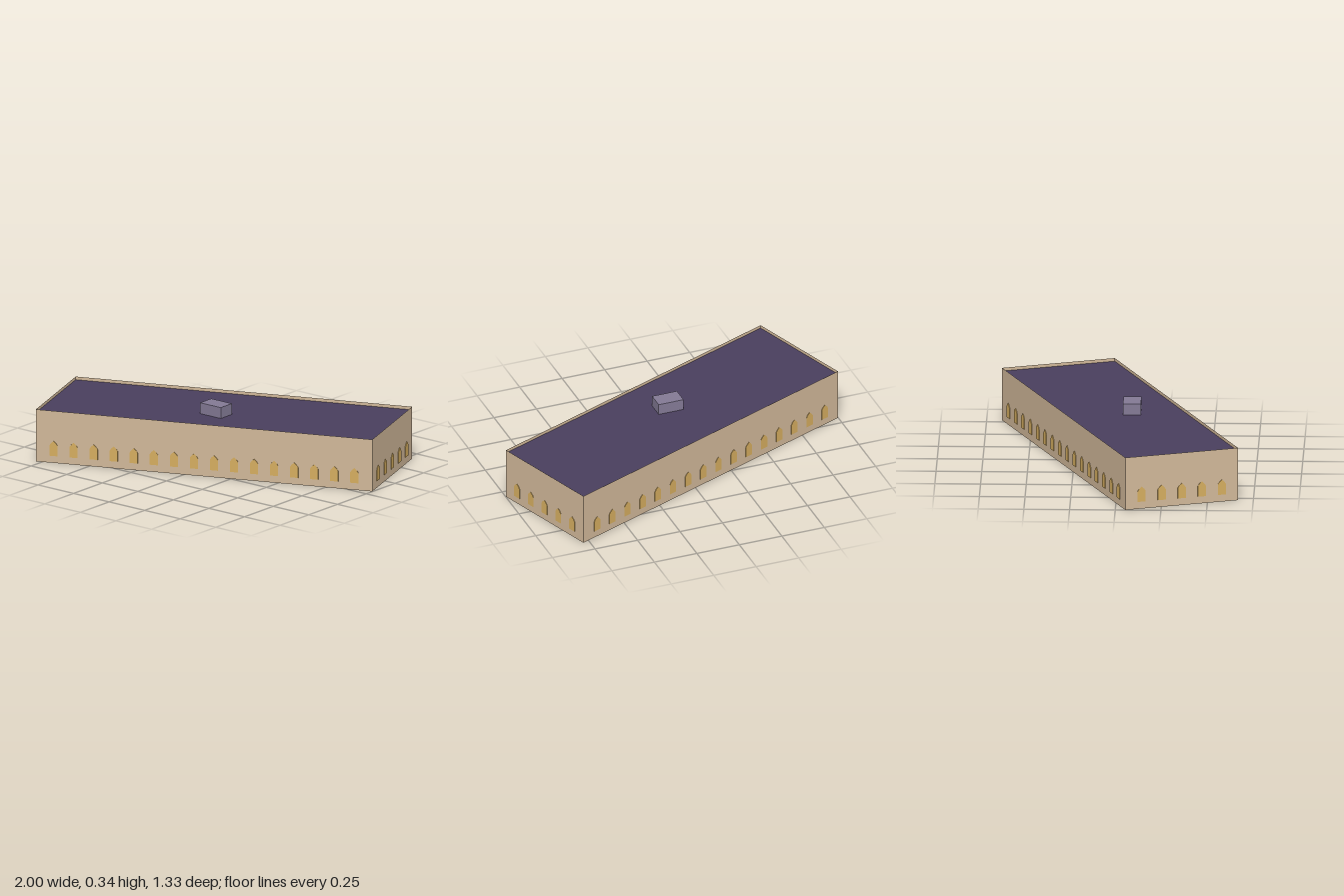
import * as THREE from 'three';

const WALL_HEIGHT = 0.297;
const ROOF_HEIGHT = 0.279;

const makeMaterial = (name, color, side = THREE.FrontSide) => {
  const m = new THREE.MeshStandardMaterial({ color, side });
  m.name = name;
  return m;
};

// Pointed-arch window plate, standing on its sill at y = 0
function windowGeometry() {
  const half = [[0.023, 0], [0.023, 0.06], [0.014, 0.073]];
  const mirrored = half.map(([x, y]) => [-x, y]).reverse();
  const outline = [...half, [0, 0.085], ...mirrored];
  const shape = new THREE.Shape(outline.map(([x, y]) => new THREE.Vector2(x, y)));
  return new THREE.ExtrudeGeometry(shape, { depth: 0.003, bevelEnabled: false });
}

export function createModel() {
  const model = new THREE.Group();
  model.name = 'building';
  const wallMat = makeMaterial('sandstone', 0xd2b99a, THREE.DoubleSide);
  const windowMat = makeMaterial('amber glass', 0xd6ae60);
  const roofMat = makeMaterial('dark violet roof', 0x4a3f5e, THREE.DoubleSide);
  const boxMat = makeMaterial('grey violet', 0x837a95);

  // Ground plan corners (x, z), slightly skewed
  const corners = [[-0.785, 0.666], [0.998, -0.055], [0.785, -0.666], [-0.998, 0.055]];
  const names = ['front', 'leftEnd', 'back', 'rightEnd'];
  const pane = windowGeometry();

  // Walls with their rows of windows; local +z points outward
  corners.forEach(([x0, z0], i) => {
    const [x1, z1] = corners[(i + 1) % 4];
    const length = Math.hypot(x1 - x0, z1 - z0);
    const side = new THREE.Group();
    side.name = names[i] + 'Side';
    side.position.set((x0 + x1) / 2, 0, (z0 + z1) / 2);
    side.rotation.y = Math.atan2(z0 - z1, x1 - x0);

    const wall = new THREE.Mesh(new THREE.PlaneGeometry(length, WALL_HEIGHT), wallMat);
    wall.name = names[i] + 'Wall';
    wall.position.y = WALL_HEIGHT / 2;
    side.add(wall);

    const long = i % 2 === 0;
    const count = long ? 16 : 5;
    const step = length * (long ? 0.0596 : 0.178);
    for (let k = 0; k < count; k++) {
      const win = new THREE.Mesh(pane, windowMat);
      win.name = names[i] + 'Window' + (k + 1);
      win.position.set((k - (count - 1) / 2) * step, 0.04, 0.0005);
      side.add(win);
    }
    model.add(side);
  });

  // Flat roof set just below the wall tops
  const plan = new THREE.Shape(corners.map(([x, z]) => new THREE.Vector2(x, -z)));
  const roof = new THREE.Mesh(new THREE.ShapeGeometry(plan).rotateX(-Math.PI / 2), roofMat);
  roof.name = 'roof';
  roof.position.y = ROOF_HEIGHT;
  model.add(roof);

  // Small rooftop housing
  const boxHeight = 0.341 - ROOF_HEIGHT;
  const box = new THREE.Mesh(new THREE.BoxGeometry(0.146, boxHeight, 0.098), boxMat);
  box.name = 'rooftopHousing';
  box.position.set(-0.002, ROOF_HEIGHT + boxHeight / 2, 0.067);
  model.add(box);

  return model;
}
